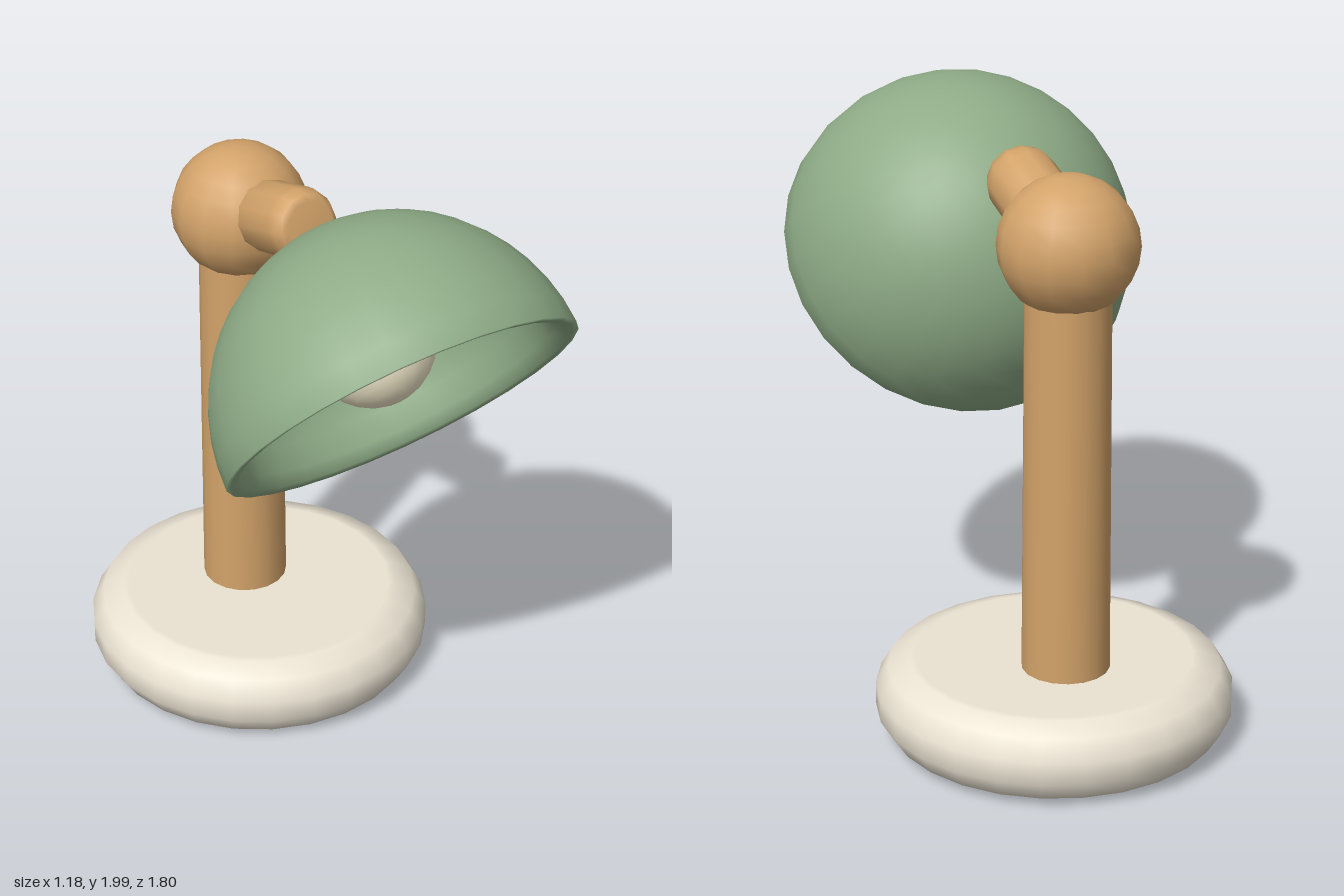
import * as THREE from 'three';

const WOOD = 0xd3a36a, CREAM = 0xebe3d3, GREEN = 0x8eab86, GLOW = 0xf5ebcc;

function part(name, geometry, color, y, z, tilt = 0) {
  const mesh = new THREE.Mesh(geometry, new THREE.MeshStandardMaterial({ color }));
  mesh.name = name;
  mesh.position.set(0, y, z);
  mesh.rotation.x = tilt;
  return mesh;
}

// Turned solid from [radius, height] pairs, listed bottom to top on the outside
function turned(profile, sides) {
  return new THREE.LatheGeometry(profile.map(([r, h]) => new THREE.Vector2(r, h)), sides);
}

// Quarter arc from the rim (0) to the pole (1)
function arc(radius, depth, steps, from = 0) {
  return Array.from({ length: steps + 1 }, (_, i) => {
    const a = from + (Math.PI / 2 - from) * i / steps;
    return [i === steps ? 0 : radius * Math.cos(a), depth * Math.sin(a)];
  });
}

export function createModel() {
  const lamp = new THREE.Group();
  lamp.name = 'deskLamp';

  // Round base with soft edges
  lamp.add(part('base', turned([
    [0, 0.005], [0.45, 0.005], [0.47, 0.007], [0.54, 0.035], [0.58, 0.1],
    [0.58, 0.175], [0.54, 0.24], [0.47, 0.268], [0.45, 0.27], [0, 0.27],
  ], 26), CREAM, 0, -0.32));

  // Upright post, slightly tapered, running into the joint
  lamp.add(part('post', new THREE.CylinderGeometry(0.135, 0.143, 1.4, 18), WOOD, 0.9, -0.41));

  // Ball joint
  lamp.add(part('ballJoint', new THREE.SphereGeometry(0.222, 14, 12), WOOD, 1.68, -0.41));

  // Short arm from the joint to the shade, with a bevelled end
  lamp.add(part('arm', turned([
    [0, 0], [0.116, 0], [0.116, 0.36], [0.114, 0.39], [0.1, 0.425], [0.08, 0.435], [0, 0.435],
  ], 12), WOOD, 1.68, -0.41, 1.287));

  // Shade and bulb share one tilted group, opening forward and down
  const head = new THREE.Group();
  head.name = 'lampHead';
  head.position.set(0, 1.4, 0.52);
  head.rotation.x = -0.87;
  lamp.add(head);

  // Hollow dome: inner wall down to the rim, then the outer wall up to the pole
  const inner = arc(0.52, 0.545, 10, 0.08).reverse();
  const outer = arc(0.589, 0.615, 12);
  head.add(part('shade', turned([...inner, [0.55, 0.005], [0.57, 0], ...outer], 28), GREEN, 0, 0));

  // Round bulb inside the shade
  head.add(part('bulb', new THREE.SphereGeometry(0.2, 18, 14), GLOW, 0.23, 0));

  return lamp;
}
